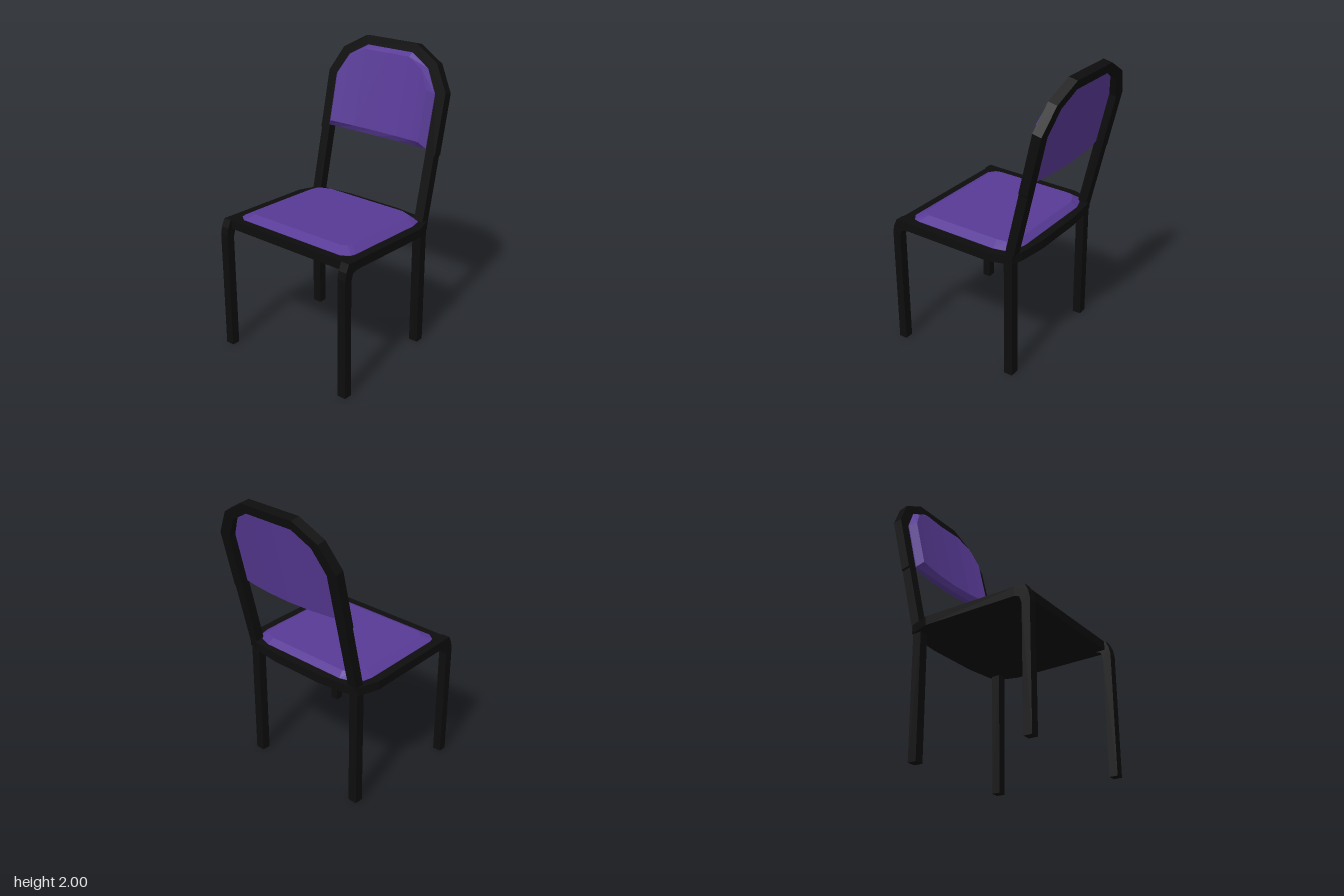
import * as THREE from 'three';

const black = new THREE.MeshStandardMaterial({ color: 0x0d0d0d, flatShading: true });
const purple = new THREE.MeshStandardMaterial({ color: 0x583a96, flatShading: true });

function addMesh(parent, name, geometry, material) {
  const mesh = new THREE.Mesh(geometry, material);
  mesh.name = name;
  parent.add(mesh);
  return mesh;
}

// Skins a stack of matching counter-clockwise rings and closes both ends with strips.
function loft(rings) {
  const pos = [];
  const n = rings[0].length;
  const quad = (a, b, c, d) => [a, b, c, a, c, d].forEach((p) => pos.push(...p));
  for (let r = 0; r < rings.length - 1; r++) {
    const lo = rings[r], hi = rings[r + 1];
    for (let i = 0; i < n; i++) {
      const j = (i + 1) % n;
      quad(lo[i], lo[j], hi[j], hi[i]);
    }
  }
  const first = rings[0], last = rings[rings.length - 1];
  for (let i = 0; i < n / 2 - 1; i++) {
    const k = n - 1 - i;
    quad(last[i], last[i + 1], last[k - 1], last[k]);
    quad(first[k], first[k - 1], first[i + 1], first[i]);
  }
  const geo = new THREE.BufferGeometry();
  geo.setAttribute('position', new THREE.Float32BufferAttribute(pos, 3));
  geo.computeVertexNormals();
  return geo;
}

// Seat surface slopes gently down to the rear.
const seatY = (z) => 0.92 - 0.027 * (0.55 - z);

// Mirrored seat ring from a right-hand half outline [x, z], front to back.
function seatRing(half, lift) {
  const full = [...half, ...half.map(([x, z]) => [-x, z]).reverse()];
  return full.map(([x, z]) => [x, seatY(z) + lift, z]);
}

// Backrest lean: heights are measured along the tilted plane from its pivot.
const PIVOT_Y = 0.885, LEAN = 0.228;
const along = (y) => (y - PIVOT_Y) / Math.cos(LEAN);

// Back cushion ring: straight bottom edge, arched top, bowed in depth.
function backRing(halfTop, bottom, depth) {
  const cols = [...halfTop.map(([x, y]) => [-x, y]), ...halfTop.slice(0, -1).reverse()];
  const low = cols.map(([x]) => [x, along(bottom), depth(x)]);
  const top = cols.map(([x, y]) => [x, along(y), depth(x)]).reverse();
  return [...low, ...top];
}

export function createModel() {
  const chair = new THREE.Group();
  chair.name = 'chair';

  // Seat frame slab
  const frameHalf = [[0.53, 0.545], [0.53, -0.175], [0.48, -0.32], [0.4, -0.342], [0.2, -0.365]];
  addMesh(chair, 'seatFrame', loft([seatRing(frameHalf, -0.06), seatRing(frameHalf, 0)]), black);

  // Seat cushion with bevelled rim
  const rim = [[0.41, 0.49], [0.46, 0.455], [0.47, 0.42], [0.47, -0.17], [0.45, -0.255], [0.4, -0.285], [0.32, -0.31]];
  const face = [[0.36, 0.43], [0.4, 0.405], [0.412, 0.375], [0.412, -0.16], [0.4, -0.225], [0.37, -0.245], [0.31, -0.27]];
  addMesh(chair, 'seatCushion',
    loft([seatRing(rim, -0.01), seatRing(rim, 0.002), seatRing(face, 0.036)]), purple);

  // Legs: the front pair curves over into the seat frame
  const legProfile = new THREE.Shape([
    [0.53, 0], [0.587, 0], [0.587, 0.82], [0.577, 0.87], [0.552, 0.921],
    [0.48, 0.918], [0.48, 0.858], [0.515, 0.845], [0.53, 0.8],
  ].map(([z, y]) => new THREE.Vector2(z, y)));
  const frontLegGeo = new THREE.ExtrudeGeometry(legProfile, { depth: 0.06, bevelEnabled: false });
  frontLegGeo.rotateY(-Math.PI / 2).translate(0.03, 0, 0);
  const backLegGeo = new THREE.BoxGeometry(0.065, 0.86, 0.06);
  for (const [side, s] of [['left', 1], ['right', -1]]) {
    addMesh(chair, side + 'FrontLeg', frontLegGeo, black).position.x = s * 0.5005;
    addMesh(chair, side + 'BackLeg', backLegGeo, black).position.set(s * 0.4425, 0.43, -0.285);
  }

  // Leaning backrest
  const back = new THREE.Group();
  back.name = 'backrest';
  back.position.set(0, PIVOT_Y, -0.263);
  back.rotation.x = -LEAN;
  chair.add(back);

  // Arched back frame: outer half up, inner half down
  const outer = [[0.478, 0.86], [0.478, 1.33], [0.485, 1.34], [0.485, 1.73], [0.385, 1.9], [0.205, 2.0]];
  const inner = [[0.41, 0.86], [0.41, 1.71], [0.325, 1.86], [0.185, 1.94]];
  const mirror = (pts) => pts.map(([x, y]) => [-x, y]);
  const arch = [...outer, ...mirror(outer).reverse(), ...mirror(inner), ...inner.slice().reverse()];
  const archShape = new THREE.Shape(arch.map(([x, y]) => new THREE.Vector2(x, along(y))));
  const archGeo = new THREE.ExtrudeGeometry(archShape, { depth: 0.062, bevelEnabled: false });
  archGeo.translate(0, 0, -0.062);
  addMesh(back, 'backFrame', archGeo, black);

  // Back cushion, hollowed to the front and bulging to the rear
  const backRim = [[0.41, 1.71], [0.325, 1.86], [0.185, 1.94], [0, 1.94]];
  const backFace = [[0.37, 1.73], [0.3, 1.85], [0.18, 1.91], [0, 1.91]];
  const bow = (base, rise) => (x) => base + rise * (x / 0.4) ** 2;
  addMesh(back, 'backCushion', loft([
    backRing(backRim, 1.365, bow(-0.042, 0.03)),
    backRing(backRim, 1.365, bow(-0.004, 0.01)),
    backRing(backFace, 1.4, bow(0.02, 0.034)),
  ]), purple);

  return chair;
}
